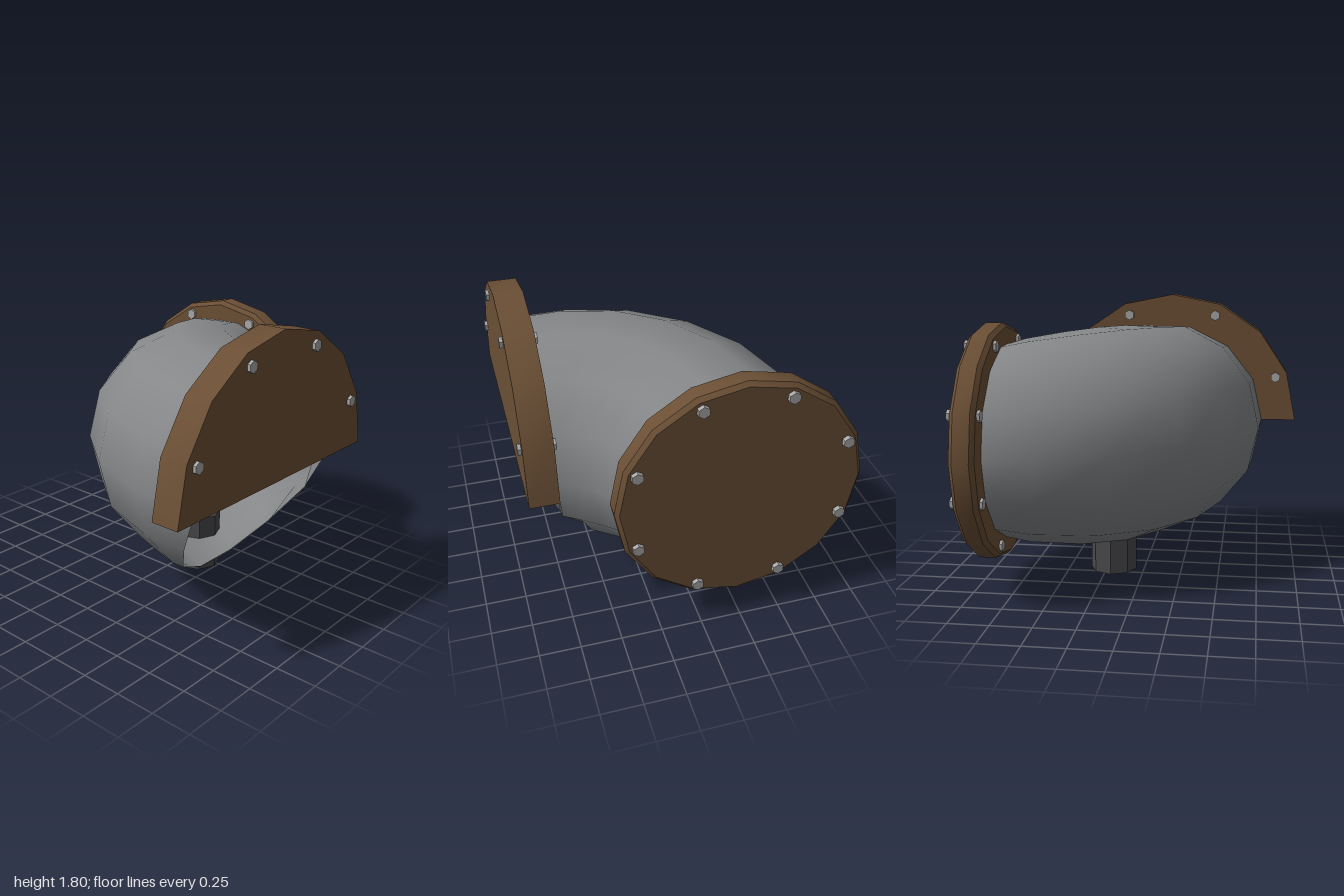
import * as THREE from 'three';
import { toCreasedNormals } from 'three/addons/utils/BufferGeometryUtils.js';

const AXIS_Y = 0.92; // height of the pipe's centre line

export function createModel() {
  const mat = (name, color, extra = {}) => {
    const m = new THREE.MeshStandardMaterial({ color, ...extra });
    m.name = name;
    return m;
  };
  const pipeGrey = mat('pipeGrey', 0x858789, { side: THREE.DoubleSide });
  const rustBrown = mat('rustBrown', 0x6b4f35);
  const darkSteel = mat('darkSteel', 0x4a494d, { flatShading: true });
  const boltSteel = mat('boltSteel', 0xa8a8a8, { flatShading: true });

  const group = new THREE.Group();
  group.name = 'pipeElbow';
  const add = (name, geo, material, parent = group) => {
    const mesh = new THREE.Mesh(geo, material);
    mesh.name = name;
    parent.add(mesh);
    return mesh;
  };

  add('elbowPipe', elbowGeometry(), pipeGrey);

  // Broken front flange: the upper half of a 16-sided disc
  const half = new THREE.Shape();
  for (let i = 0; i <= 8; i++) {
    const a = (i / 8) * Math.PI;
    half[i ? 'lineTo' : 'moveTo'](0.885 * Math.cos(a), 0.885 * Math.sin(a));
  }
  half.closePath();
  const halfGeo = new THREE.ExtrudeGeometry(half, { depth: 0.175, bevelEnabled: false });
  const front = new THREE.Group();
  front.name = 'frontFlange';
  front.position.set(-0.115, AXIS_Y, 0.775);
  group.add(front);
  add('halfDisc', toCreasedNormals(halfGeo, 0.5), rustBrown, front);
  addBolts(front, 4, 0.8, 0.0875, 0.215);

  // Complete side flange with chamfered rims, built along z and turned to face +x
  const side = new THREE.Group();
  side.name = 'sideFlange';
  side.position.set(0.822, AXIS_Y, -0.228);
  side.rotation.y = Math.PI / 2;
  group.add(side);
  const profile = [[0, 0], [0.715, 0], [0.74, 0.025], [0.74, 0.125], [0.715, 0.15], [0, 0.15]]
    .map(([x, y]) => new THREE.Vector2(x, y));
  const disc = new THREE.LatheGeometry(profile, 16).rotateX(Math.PI / 2);
  add('disc', toCreasedNormals(disc, 0.5), rustBrown, side);
  addBolts(side, 8, 0.665, 0.08, 0.195);

  // Octagonal drain post that the elbow stands on
  const post = add('drainPost', new THREE.CylinderGeometry(0.152, 0.152, 0.375, 8), darkSteel);
  post.position.set(0.205, 0.1875, 0.092);

  // Hexagonal bolts through a flange, spaced 45 degrees apart
  function addBolts(parent, count, radius, z, length) {
    const geo = new THREE.CylinderGeometry(0.036, 0.036, length, 6).rotateX(Math.PI / 2);
    for (let i = 0; i < count; i++) {
      const a = ((i + 0.5) * Math.PI) / 4;
      const bolt = add('bolt', geo, boltSteel, parent);
      bolt.position.set(radius * Math.cos(a), radius * Math.sin(a), z);
    }
  }

  return group;
}

// Quarter bend of 14-sided rings that swells in the middle, with a slanted cut under the front mouth
function elbowGeometry() {
  const rings = 6, sides = 14, cx = 0.99, cz = 0.87;
  const positions = [], index = [];
  for (let i = 0; i <= rings; i++) {
    const t = i / rings, bend = (t * Math.PI) / 2, swell = Math.sin(t * Math.PI);
    const r = 0.665 - 0.068 * t + 0.075 * swell;
    const R = 1.093 + 0.017 * swell;
    for (let j = 0; j < sides; j++) {
      const a = (j / sides) * Math.PI * 2;
      const reach = R + r * Math.cos(a);
      const y = AXIS_Y + r * Math.sin(a);
      const x = Math.min(cx - reach * Math.cos(bend), 0.9);
      let z = cz - reach * Math.sin(bend);
      if (y < AXIS_Y - 0.01) z = Math.min(z, 0.74 + 0.684 * (y - 0.63));
      positions.push(x, y, z);
      if (i < rings) {
        const p = i * sides + j, q = i * sides + ((j + 1) % sides);
        index.push(p, q, p + sides, q, q + sides, p + sides);
      }
    }
  }
  const geo = new THREE.BufferGeometry();
  geo.setAttribute('position', new THREE.Float32BufferAttribute(positions, 3));
  geo.setIndex(index);
  return toCreasedNormals(geo, 0.8);
}
